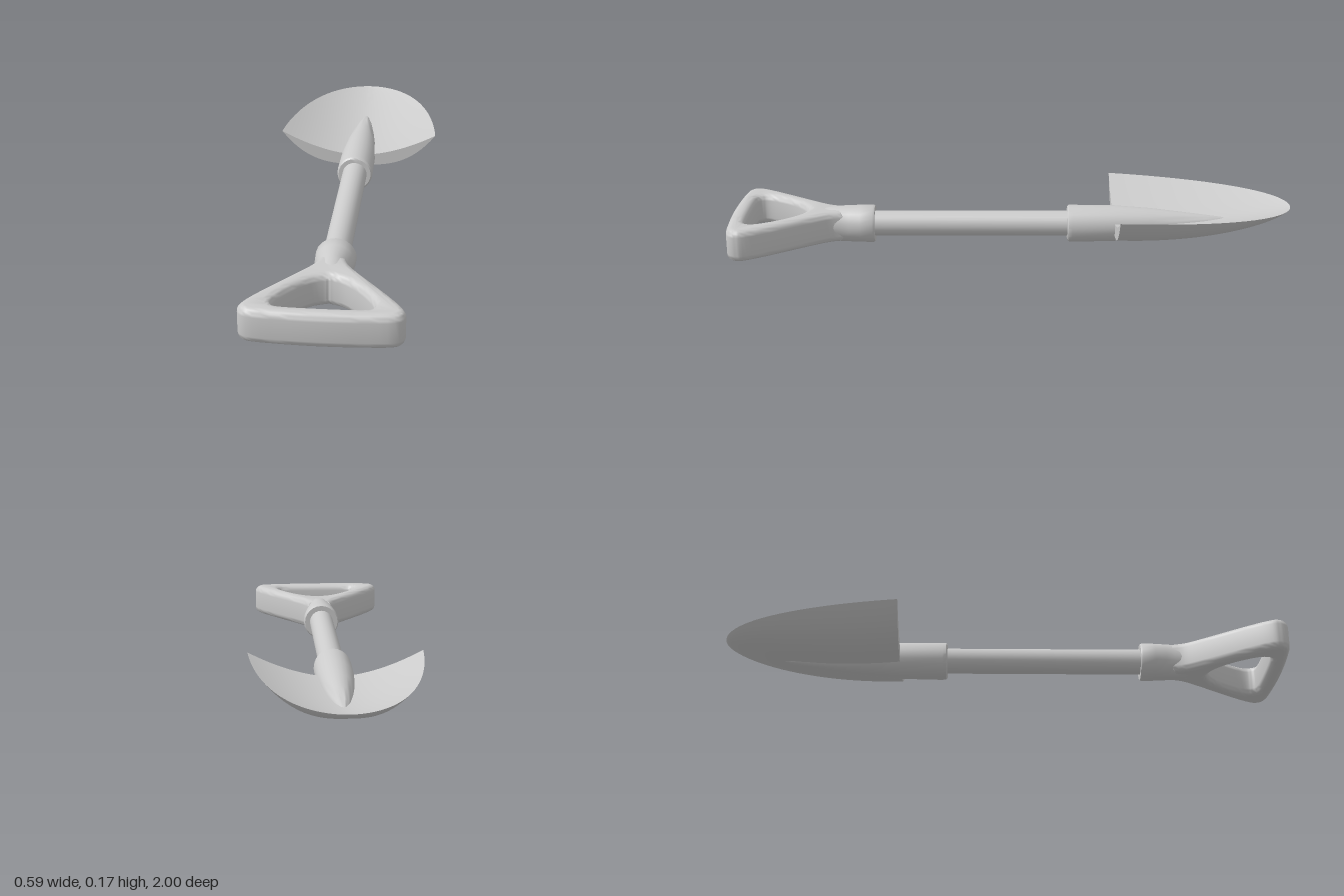
import * as THREE from 'three';
import { toCreasedNormals, mergeGeometries } from 'three/addons/utils/BufferGeometryUtils.js';

const material = new THREE.MeshStandardMaterial({ color: 0xcccccc });
const AXIS_Y = 0.07; // height of the shaft axis

// Grid surface from f(u, v) -> [x, y, z]; faces point along du x dv
function grid(f, nu, nv) {
  const pos = [], index = [];
  for (let j = 0; j <= nv; j++)
    for (let i = 0; i <= nu; i++) pos.push(...f(i / nu, j / nv));
  for (let j = 0; j < nv; j++)
    for (let i = 0; i < nu; i++) {
      const a = j * (nu + 1) + i, b = a + nu + 1;
      index.push(a, a + 1, b, a + 1, b + 1, b);
    }
  const g = new THREE.BufferGeometry();
  g.setAttribute('position', new THREE.Float32BufferAttribute(pos, 3));
  g.setIndex(index);
  return g;
}

// Elliptical sections [z, halfWidth, bottom, top], listed by rising z
function loft(sections, sides = 24) {
  return grid((u, v) => {
    const [z, w, lo, hi] = sections[Math.round(v * (sections.length - 1))];
    const a = u * Math.PI * 2;
    return [w * Math.cos(a), (lo + hi) / 2 + (hi - lo) / 2 * Math.sin(a), z];
  }, sides, sections.length - 1);
}

function part(name, geometry, crease = 0.7) {
  const mesh = new THREE.Mesh(toCreasedNormals(geometry, crease), material);
  mesh.name = name;
  return mesh;
}

// Dished blade: two curved skins that meet at the rim, closed at the rear
function bladeGeometry() {
  const point = (s, t, mix) => {
    const w = 0.293 * Math.sqrt(Math.max(0, 1 - t * t)) * (1 - 0.12 * t * (1 - t));
    const rim = 0.168 - 0.03 * t;
    const fall = Math.pow(Math.max(0, 1 - t * t), 0.8);
    const upper = rim - 0.088 * fall * (1 - Math.pow(Math.abs(s), 1.8));
    const lower = rim - 0.128 * fall * (1 - Math.pow(Math.abs(s), 3));
    return [w * s, lower + (upper - lower) * mix, -0.37 - 0.63 * t];
  };
  const along = v => Math.sin(v * Math.PI / 2);
  return mergeGeometries([
    grid((u, v) => point(2 * u - 1, along(v), 1), 32, 24),
    grid((u, v) => point(1 - 2 * u, along(v), 0), 32, 24),
    grid((u, v) => point(2 * u - 1, 0, v), 32, 1),
  ]);
}

// Mirror a half outline (from x > 0) into a full list of points
function mirrored(half) {
  const right = half.map(([x, y]) => new THREE.Vector2(x, y));
  const left = right.filter(p => p.x > 0).reverse().map(p => new THREE.Vector2(-p.x, p.y));
  return [...right, ...left];
}

// D-shaped grip with a rounded triangular opening
function gripGeometry() {
  const outer = mirrored([[0.045, 0.6], [0.06, 0.645], [0.1, 0.705], [0.195, 0.835],
    [0.243, 0.91], [0.252, 0.95], [0.222, 0.982], [0.12, 0.993], [0, 0.997]]);
  const shape = new THREE.Shape(new THREE.SplineCurve(outer).getPoints(64));
  const inner = mirrored([[0, 0.73], [0.05, 0.753], [0.105, 0.81], [0.15, 0.885],
    [0.15, 0.922], [0.12, 0.935], [0, 0.938]]);
  inner.push(inner[0].clone());
  shape.holes.push(new THREE.Path(new THREE.SplineCurve(inner).getPoints(56)));
  const bevel = 0.024, height = 0.114;
  const g = new THREE.ExtrudeGeometry(shape, {
    depth: height - 2 * bevel, bevelThickness: bevel, bevelSize: bevel,
    bevelOffset: -bevel, bevelSegments: 5,
  });
  g.rotateX(Math.PI / 2);
  g.translate(0, AXIS_Y + height / 2 - bevel, 0);
  return g;
}

export function createModel() {
  const group = new THREE.Group();
  group.name = 'shovel';

  const shaft = new THREE.CylinderGeometry(0.045, 0.045, 0.9, 24);
  shaft.rotateX(Math.PI / 2);
  shaft.translate(0, AXIS_Y, 0.15);
  group.add(part('shaft', shaft));

  // Socket runs out into a ridge on both faces of the blade
  group.add(part('bladeSocket', loft([
    [-0.79, 0.001, 0.068, 0.084], [-0.76, 0.014, 0.056, 0.092],
    [-0.7, 0.028, 0.043, 0.1], [-0.6, 0.043, 0.028, 0.112],
    [-0.5, 0.055, 0.016, 0.124], [-0.37, 0.064, 0.005, 0.134],
    [-0.22, 0.066, 0.002, 0.136], [-0.207, 0.065, 0.004, 0.136],
    [-0.202, 0.06, 0.01, 0.13], [-0.202, 0.044, 0.026, 0.114],
  ])));
  group.add(part('blade', bladeGeometry()));

  // Collar narrows to a neck before the grip spreads
  group.add(part('gripCollar', loft([
    [0.488, 0.044, 0.026, 0.114], [0.488, 0.064, 0.006, 0.134],
    [0.495, 0.068, 0.002, 0.138], [0.54, 0.066, 0.003, 0.137],
    [0.58, 0.059, 0.004, 0.136], [0.61, 0.054, 0.005, 0.135],
    [0.65, 0.056, 0.009, 0.131], [0.69, 0.06, 0.018, 0.122],
    [0.71, 0.02, 0.05, 0.09], [0.71, 0, 0.07, 0.07],
  ])));
  group.add(part('grip', gripGeometry()));

  return group;
}
